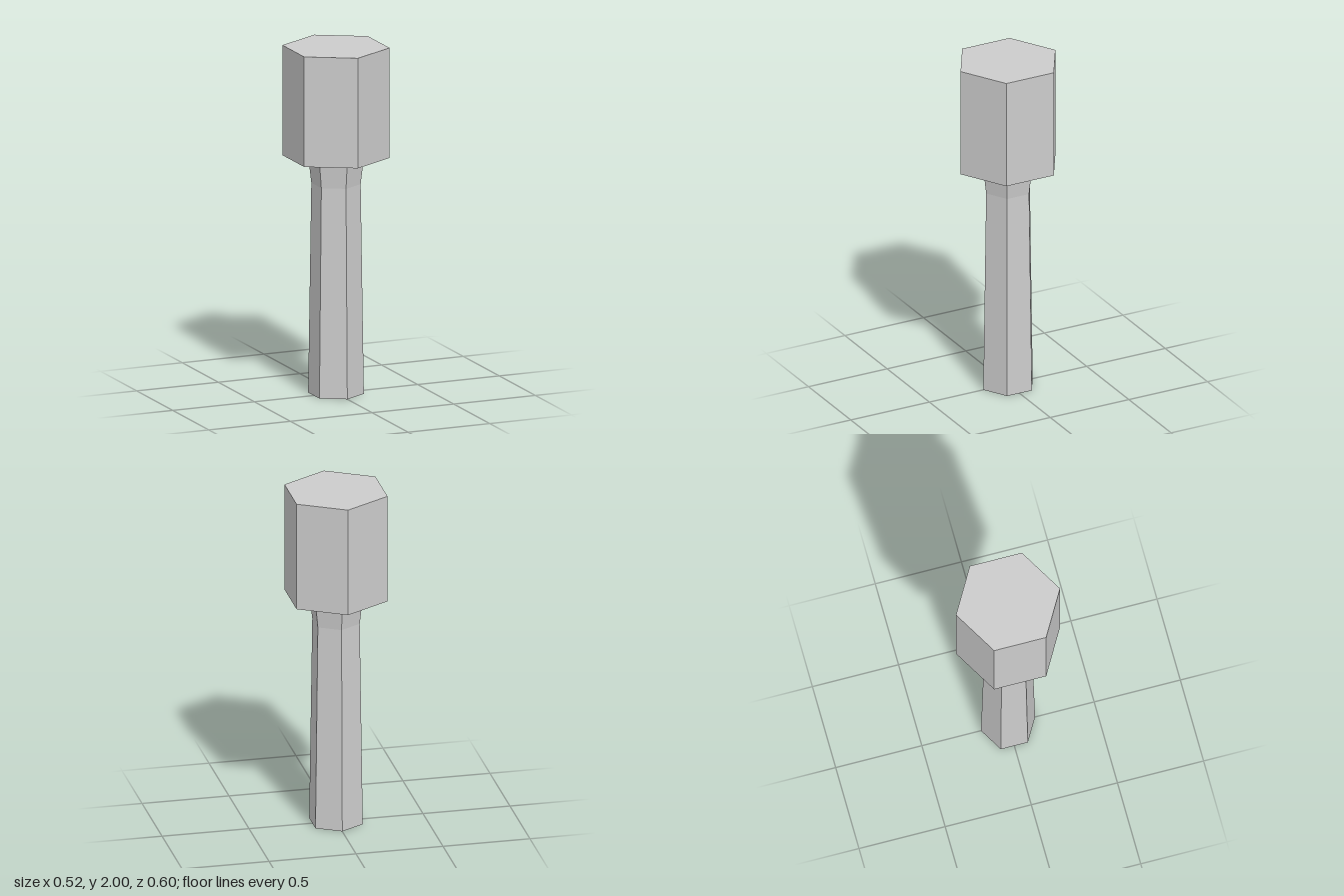
import * as THREE from 'three';

export function createModel() {
  const model = new THREE.Group();
  model.name = 'mallet';

  const grey = new THREE.MeshStandardMaterial({ color: 0xcccccc });
  grey.name = 'plain grey';

  // Flat-faced six-sided section between two heights, with a corner facing the front
  function hexSection(name, y0, y1, r0, r1, open = false) {
    const indexed = new THREE.CylinderGeometry(r1, r0, y1 - y0, 6, 1, open);
    const geometry = indexed.toNonIndexed();
    geometry.computeVertexNormals();
    const mesh = new THREE.Mesh(geometry, grey);
    mesh.name = name;
    mesh.position.y = (y0 + y1) / 2;
    return mesh;
  }

  // Handle tapering upwards, with its bottom end closed
  const handle = hexSection('handle', 0, 1.21, 0.157, 0.139);
  // Collar flaring out to meet the head
  const collar = hexSection('collar', 1.21, 1.365, 0.139, 0.157, true);
  // Heavy head
  const head = hexSection('head', 1.365, 2, 0.302, 0.302);

  model.add(handle, collar, head);
  return model;
}
